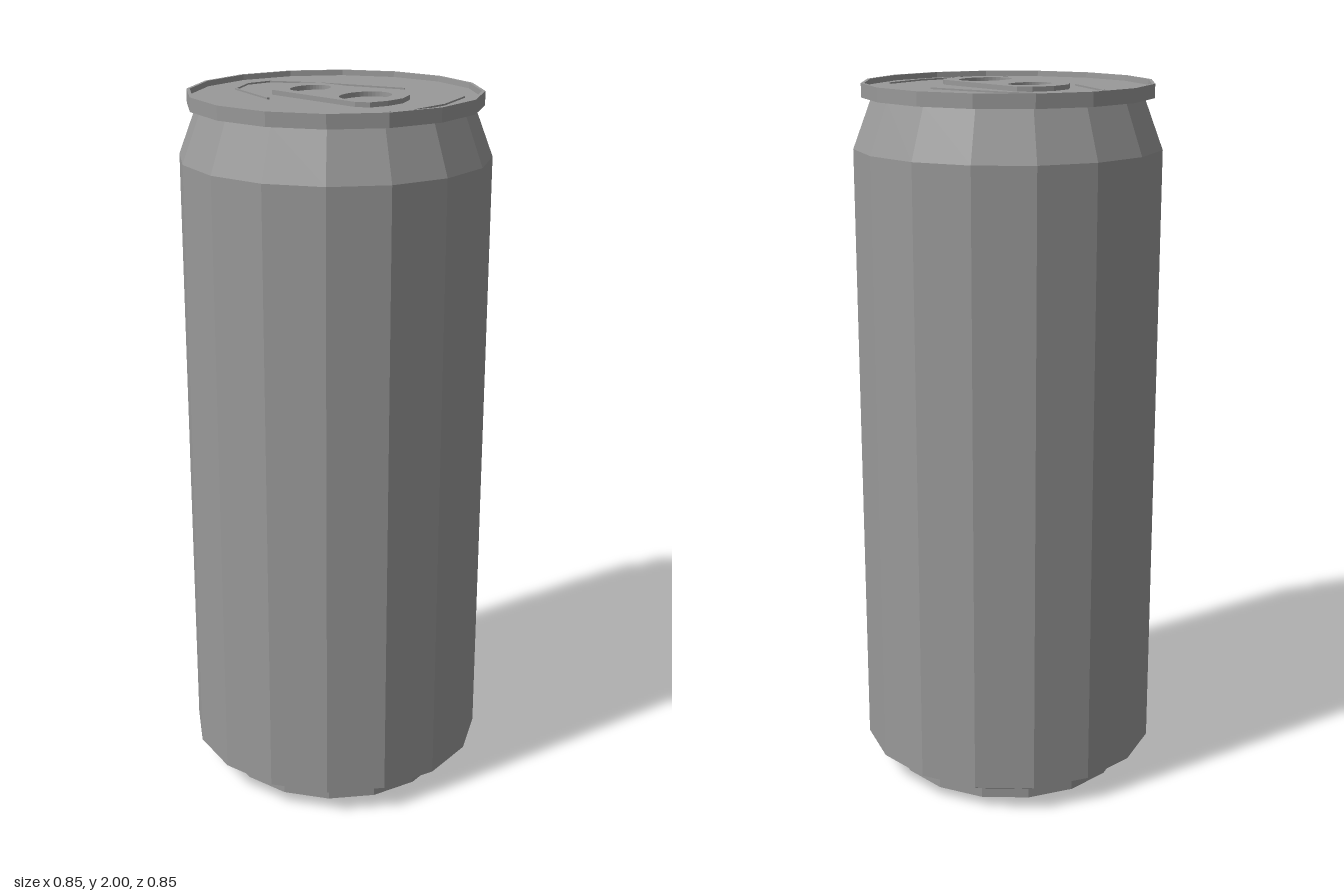
import * as THREE from 'three';

const SIDES = 16;
const TWIST = 0.298; // turns the facets off the main axes
const LID_Y = 1.985;

const aluminium = new THREE.MeshStandardMaterial({ color: 0x999999, flatShading: true });
aluminium.name = 'aluminium grey';

function add(parent, name, geometry) {
  const mesh = new THREE.Mesh(geometry, aluminium);
  mesh.name = name;
  parent.add(mesh);
  return mesh;
}

// Turned part from [radius, height] pairs, listed counter-clockwise from the bottom
function turned(profile) {
  const points = profile.map(([r, y]) => new THREE.Vector2(r, y));
  return new THREE.LatheGeometry(points, SIDES, TWIST, Math.PI * 2);
}

// Thin pressed line on the lid, following [x, z] points
function pressedLine(parent, name, path) {
  const group = new THREE.Group();
  group.name = name;
  for (let i = 0; i + 1 < path.length; i++) {
    const [x0, z0] = path[i];
    const [x1, z1] = path[i + 1];
    const length = Math.hypot(x1 - x0, z1 - z0);
    const bar = add(group, 'pressedSegment', new THREE.BoxGeometry(length + 0.003, 0.005, 0.006));
    bar.position.set((x0 + x1) / 2, LID_Y + 0.002, (z0 + z1) / 2);
    bar.rotation.y = Math.atan2(z0 - z1, x1 - x0);
  }
  parent.add(group);
}

export function createModel() {
  const can = new THREE.Group();
  can.name = 'drinkCan';

  // Foot ring and slightly recessed underside
  add(can, 'foot', turned([[0, 0.004], [0.335, 0.004], [0.337, 0], [0.346, 0], [0.346, 0.045]]));

  // Wall with bottom chamfer and tapered neck
  add(can, 'body', turned([[0.346, 0.045], [0.385, 0.05], [0.427, 0.075], [0.427, 1.825], [0.375, 1.962]]));

  // Rolled rim
  add(can, 'rim', turned([[0.375, 1.962], [0.402, 1.962], [0.402, 2], [0.393, 2], [0.392, LID_Y]]));

  // Lid
  add(can, 'lid', turned([[0.392, LID_Y], [0, LID_Y]]));

  // Pull tab with two oval openings; shape y is -z
  const outline = [
    [-0.11, 0.17], [-0.09, 0.205], [-0.04, 0.222], [0.02, 0.222], [0.08, 0.195], [0.097, 0.165],
    [0.08, -0.14], [0.05, -0.168], [-0.01, -0.183], [-0.072, -0.168], [-0.105, -0.135],
  ];
  const tabShape = new THREE.Shape(outline.map(([x, z]) => new THREE.Vector2(x, -z)));
  for (const [z, rx, rz] of [[-0.082, 0.064, 0.047], [0.118, 0.08, 0.06]]) {
    tabShape.holes.push(new THREE.Path().absellipse(-0.01, -z, rx, rz, 0, Math.PI * 2, true));
  }
  const tab = new THREE.ExtrudeGeometry(tabShape, { depth: 0.013, bevelEnabled: false, curveSegments: 20 });
  tab.rotateX(-Math.PI / 2);
  add(can, 'pullTab', tab).position.y = LID_Y;

  // Lines pressed around the opening and at the front of the lid
  pressedLine(can, 'openingScore', [
    [-0.17, -0.085], [-0.107, -0.272], [-0.02, -0.317], [0.057, -0.305], [0.13, -0.175], [0.21, 0.065],
  ]);
  pressedLine(can, 'frontCrease', [[-0.2, 0.265], [-0.085, 0.322], [0.065, 0.322], [0.2, 0.28]]);

  return can;
}
